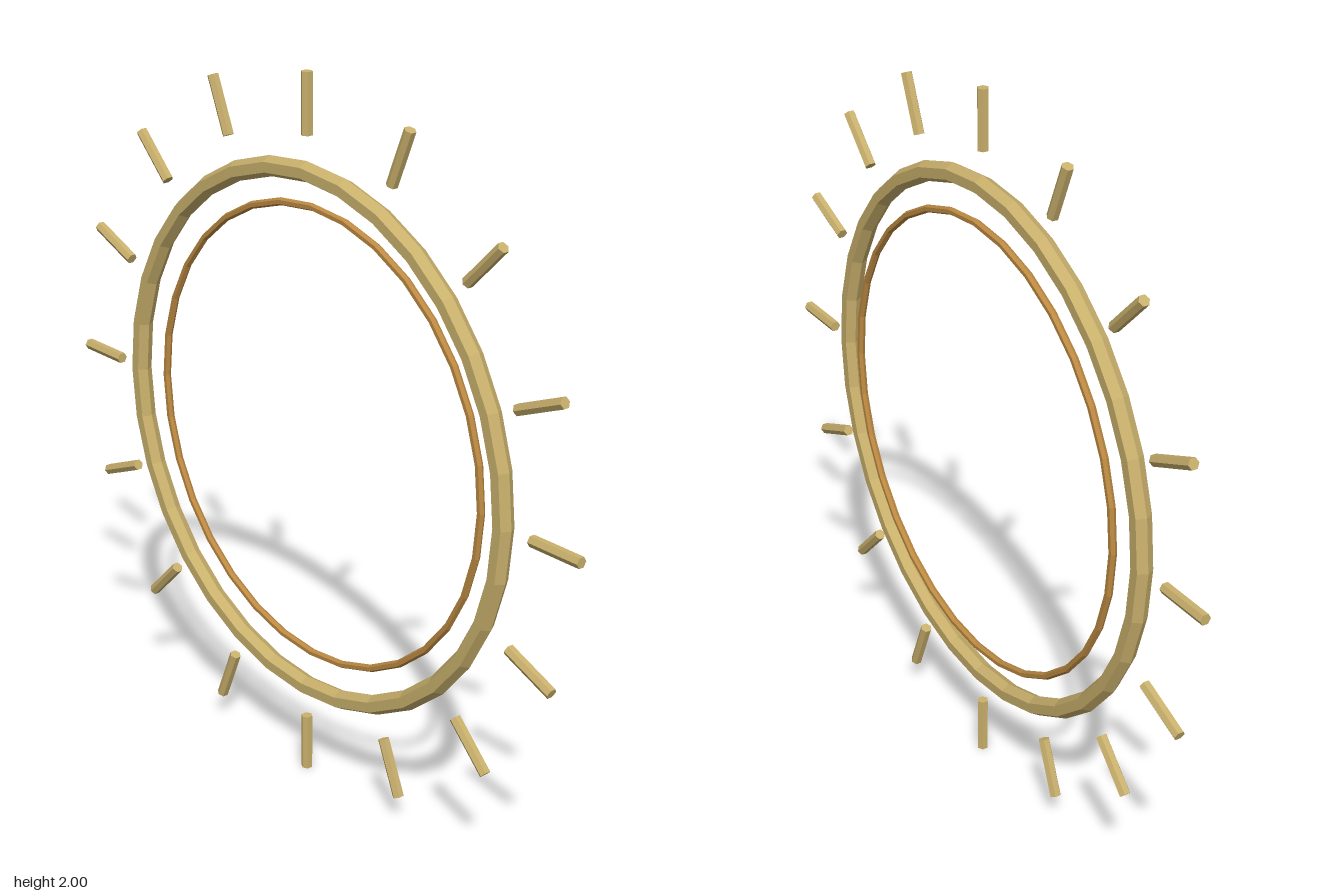
import * as THREE from 'three';

export function createModel() {
  const group = new THREE.Group();
  group.name = 'sunburstRing';
  const paleGold = new THREE.MeshStandardMaterial({ color: 0xc9b06c, flatShading: true });
  paleGold.name = 'pale gold';
  const bronze = new THREE.MeshStandardMaterial({ color: 0xbd8a42, flatShading: true });
  bronze.name = 'bronze';

  const add = (name, geometry, material, x, y, z) => {
    const mesh = new THREE.Mesh(geometry, material);
    mesh.name = name;
    mesh.position.set(x, y, z);
    group.add(mesh);
    return mesh;
  };

  // Concentric faceted rings, the thin one set slightly back
  add('outerRing', new THREE.TorusGeometry(0.74, 0.028, 6, 32), paleGold, 0, 1, 0.002);
  add('innerRing', new THREE.TorusGeometry(0.643, 0.0107, 6, 32), bronze, 0, 1, -0.017);

  // Sixteen short rods radiating around the rings
  const rayCount = 16, inner = 0.836, outer = 1;
  const rod = new THREE.CylinderGeometry(0.016, 0.016, outer - inner, 6);
  const mid = (inner + outer) / 2;
  for (let i = 0; i < rayCount; i++) {
    const a = (i / rayCount) * Math.PI * 2;
    const ray = add(`ray${i + 1}`, rod, paleGold, -Math.sin(a) * mid, 1 + Math.cos(a) * mid, 0.002);
    ray.rotation.z = a;
  }
  return group;
}
